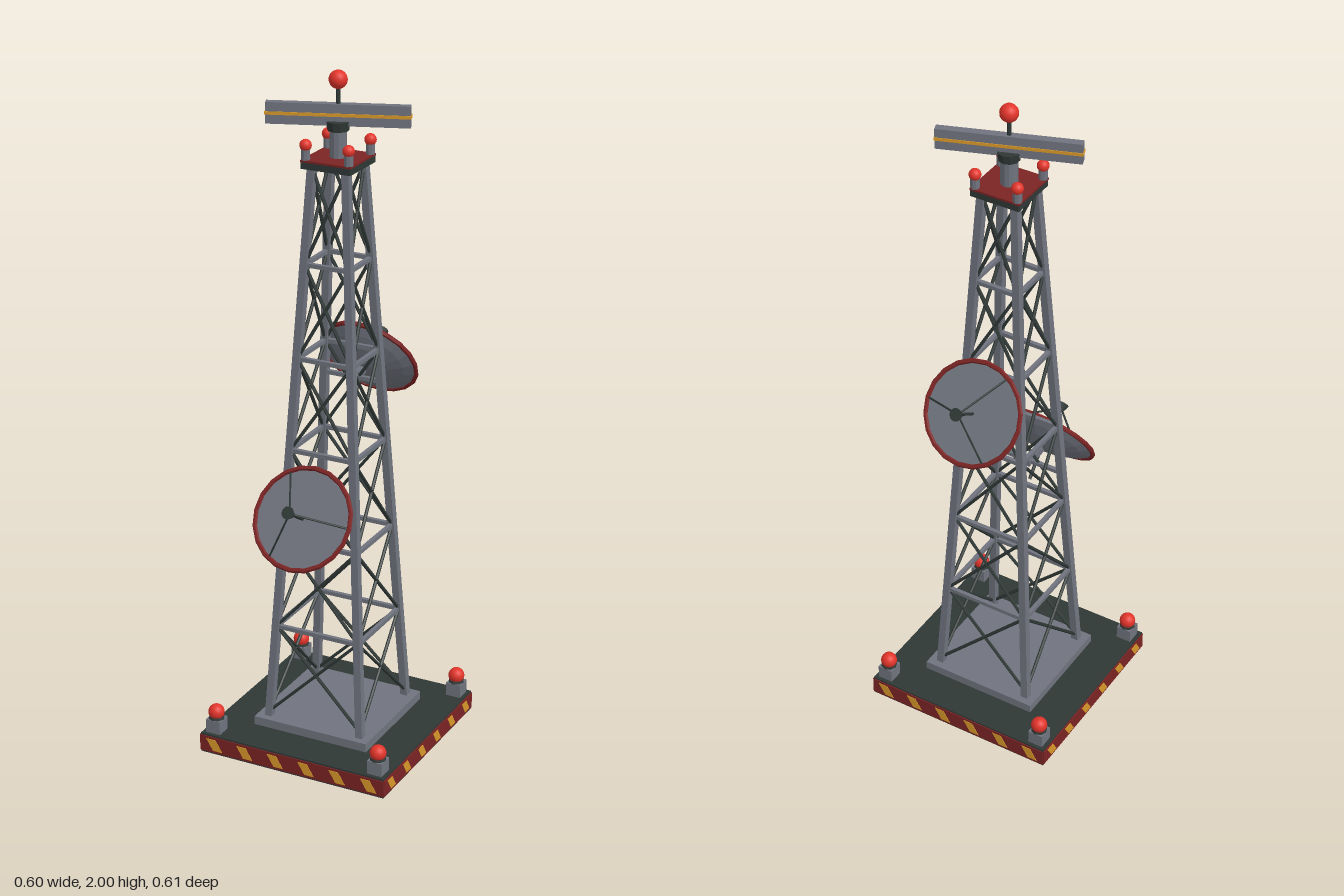
import * as THREE from 'three';

const mat = (name, color, opts = {}) => {
  const m = new THREE.MeshStandardMaterial({ color, flatShading: true, ...opts });
  m.name = name;
  return m;
};

export function createModel() {
  const steel = mat('steelGrey', 0x70747e);
  const dark = mat('darkSteel', 0x2f3836);
  const red = mat('deepRed', 0x7c2424);
  const yellow = mat('hazardYellow', 0xd8982a);
  const lamp = mat('lampRed', 0xe2342a);
  lamp.flatShading = false;

  const model = new THREE.Group();
  model.name = 'radioTower';
  const tower = new THREE.Group();
  tower.name = 'tower';
  tower.position.z = -0.007;
  model.add(tower);

  const V = (x, y, z) => new THREE.Vector3(x, y, z);
  const add = (parent, name, geo, material, x = 0, y = 0, z = 0) => {
    const mesh = new THREE.Mesh(geo, material);
    mesh.name = name;
    mesh.position.set(x, y, z);
    parent.add(mesh);
    return mesh;
  };
  const box = (parent, name, w, h, d, material, x, y, z) =>
    add(parent, name, new THREE.BoxGeometry(w, h, d), material, x, y, z);
  const cyl = (parent, name, rTop, rBottom, h, sides, material, x, y, z) =>
    add(parent, name, new THREE.CylinderGeometry(rTop, rBottom, h, sides), material, x, y, z);
  const ball = (parent, name, r, x, y, z) =>
    add(parent, name, new THREE.SphereGeometry(r, 16, 12), lamp, x, y, z);
  // Straight member between two points: square bar, or round rod when sides > 4
  const beam = (parent, name, a, b, w, material, sides = 4) => {
    const len = a.distanceTo(b);
    const geo = sides === 4 ? new THREE.BoxGeometry(w, len, w)
      : new THREE.CylinderGeometry(w / 2, w / 2, len, sides);
    const mesh = add(parent, name, geo, material);
    mesh.position.copy(a).add(b).multiplyScalar(0.5);
    mesh.quaternion.setFromUnitVectors(V(0, 1, 0), b.clone().sub(a).normalize());
    return mesh;
  };
  const corners = [[1, 1], [-1, 1], [-1, -1], [1, -1]];

  // Base slab with a red band and slanted hazard stripes on each side
  box(tower, 'baseSlab', 0.592, 0.06, 0.592, dark, 0, 0.031, 0);
  const stripe = new THREE.Shape([[-0.026, 0.018], [0.004, 0.018], [0.026, -0.018], [-0.004, -0.018]]
    .reverse().map(([x, y]) => new THREE.Vector2(x, y)));
  const stripeGeo = new THREE.ExtrudeGeometry(stripe, { depth: 0.002, bevelEnabled: false });
  for (let i = 0; i < 4; i++) {
    const side = new THREE.Group();
    side.name = 'baseSide';
    side.rotation.y = i * Math.PI / 2;
    tower.add(side);
    box(side, 'redBand', 0.592, 0.05, 0.004, red, 0, 0.031, 0.297);
    for (let k = 0; k < 6; k++)
      add(side, 'hazardStripe', stripeGeo, yellow, -0.25 + k * 0.1, 0.031, 0.2985);
  }
  box(tower, 'footPlate', 0.364, 0.027, 0.36, steel, 0, 0.0735, 0);

  // Warning lamps on the base corners
  for (const [sx, sz] of corners) {
    const x = sx * 0.262, z = sz * 0.262;
    box(tower, 'lampPedestal', 0.046, 0.042, 0.046, steel, x, 0.081, z);
    cyl(tower, 'lampCollar', 0.021, 0.024, 0.008, 8, dark, x, 0.106, z);
    ball(tower, 'baseLamp', 0.024, x, 0.122, z);
  }

  // Lattice: four tapering legs, horizontal rings and cross braces
  const y0 = 0.085, y1 = 1.737, bays = 6;
  const half = y => 0.148 + (0.052 - 0.148) * (y - y0) / (y1 - y0);
  const at = (c, y) => V(c[0] * half(y), y, c[1] * half(y));
  for (const c of corners) beam(tower, 'leg', at(c, y0), at(c, y1), 0.022, steel);
  for (let b = 0; b < bays; b++) {
    const lo = 0.1 + b * 0.2725, hi = lo + 0.2725;
    corners.forEach((c, i) => {
      const n = corners[(i + 1) % 4];
      if (b > 0) beam(tower, 'ringBar', at(c, lo), at(n, lo), 0.012, steel);
      beam(tower, 'crossBrace', at(c, lo), at(n, hi), 0.01, dark, 6);
      beam(tower, 'crossBrace', at(n, lo), at(c, hi), 0.01, dark, 6);
    });
  }

  // Top platform with four small lamps
  box(tower, 'topPlatform', 0.15, 0.02, 0.15, dark, 0, 1.745, 0);
  box(tower, 'topDeck', 0.152, 0.006, 0.152, red, 0, 1.757, 0);
  for (const [sx, sz] of corners) {
    const x = sx * 0.065, z = sz * 0.065;
    cyl(tower, 'topLampPost', 0.013, 0.013, 0.03, 8, steel, x, 1.774, z);
    ball(tower, 'topLamp', 0.017, x, 1.8, z);
  }

  // Rotating radar bar on its neck, with antenna and beacon
  cyl(tower, 'radarNeck', 0.024, 0.024, 0.08, 12, steel, 0, 1.797, 0);
  cyl(tower, 'radarBearing', 0.034, 0.03, 0.026, 10, dark, 0, 1.847, 0);
  const radar = new THREE.Group();
  radar.name = 'radarBar';
  radar.position.y = 1.878;
  radar.rotation.y = THREE.MathUtils.degToRad(20);
  tower.add(radar);
  box(radar, 'barBody', 0.394, 0.06, 0.023, steel, 0, 0, 0);
  box(radar, 'barStripe', 0.398, 0.009, 0.027, yellow, 0, 0, 0);
  cyl(tower, 'antennaRod', 0.006, 0.006, 0.06, 8, dark, 0, 1.93, 0);
  ball(tower, 'beacon', 0.026, 0, 1.974, 0);

  // Dish: local +y is the direction it faces
  const bowl = [[0.0001, -0.05], [0.03, -0.047], [0.075, -0.034], [0.115, -0.018], [0.146, 0]]
    .map(([x, y]) => new THREE.Vector2(x, y));
  const addDish = (name, y, sign) => {
    const dish = new THREE.Group();
    dish.name = name;
    dish.position.set(0, y, sign * 0.204 + 0.01);
    if (sign < 0) dish.position.z = -0.192;
    else dish.position.z = 0.216;
    dish.rotation.x = sign * THREE.MathUtils.degToRad(58);
    tower.add(dish);
    add(dish, 'bowlBack', new THREE.LatheGeometry(bowl, 20), steel);
    add(dish, 'dishFace', new THREE.CircleGeometry(0.146, 20), steel).rotation.x = -Math.PI / 2;
    add(dish, 'dishRim', new THREE.TorusGeometry(0.146, 0.007, 6, 20), red).rotation.x = Math.PI / 2;
    beam(dish, 'feedPost', V(0, 0, 0), V(0, 0.09, 0), 0.009, dark, 6);
    cyl(dish, 'feedHorn', 0.019, 0.011, 0.022, 10, dark, 0, 0.09, 0);
    for (let k = 0; k < 3; k++) {
      const a = k * Math.PI * 2 / 3;
      beam(dish, 'feedStrut', V(Math.cos(a) * 0.143, 0, Math.sin(a) * 0.143), V(0, 0.088, 0), 0.006, dark, 6);
    }
    // Arm, cross bar and brace that hold the dish to the lattice
    const hub = dish.position.z - sign * 0.04, face = sign * half(y);
    beam(tower, 'dishArm', V(0, y - 0.024, face - sign * 0.015), V(0, y - 0.024, hub), 0.022, steel);
    beam(tower, 'dishCrossBar', V(-half(y), y - 0.024, face), V(half(y), y - 0.024, face), 0.012, steel);
    beam(tower, 'dishBrace', V(0, y - 0.1, sign * half(y - 0.1)), V(0, y - 0.03, hub), 0.01, dark, 6);
  };
  addDish('frontDish', 0.771, 1);
  addDish('backDish', 1.117, -1);

  return model;
}
